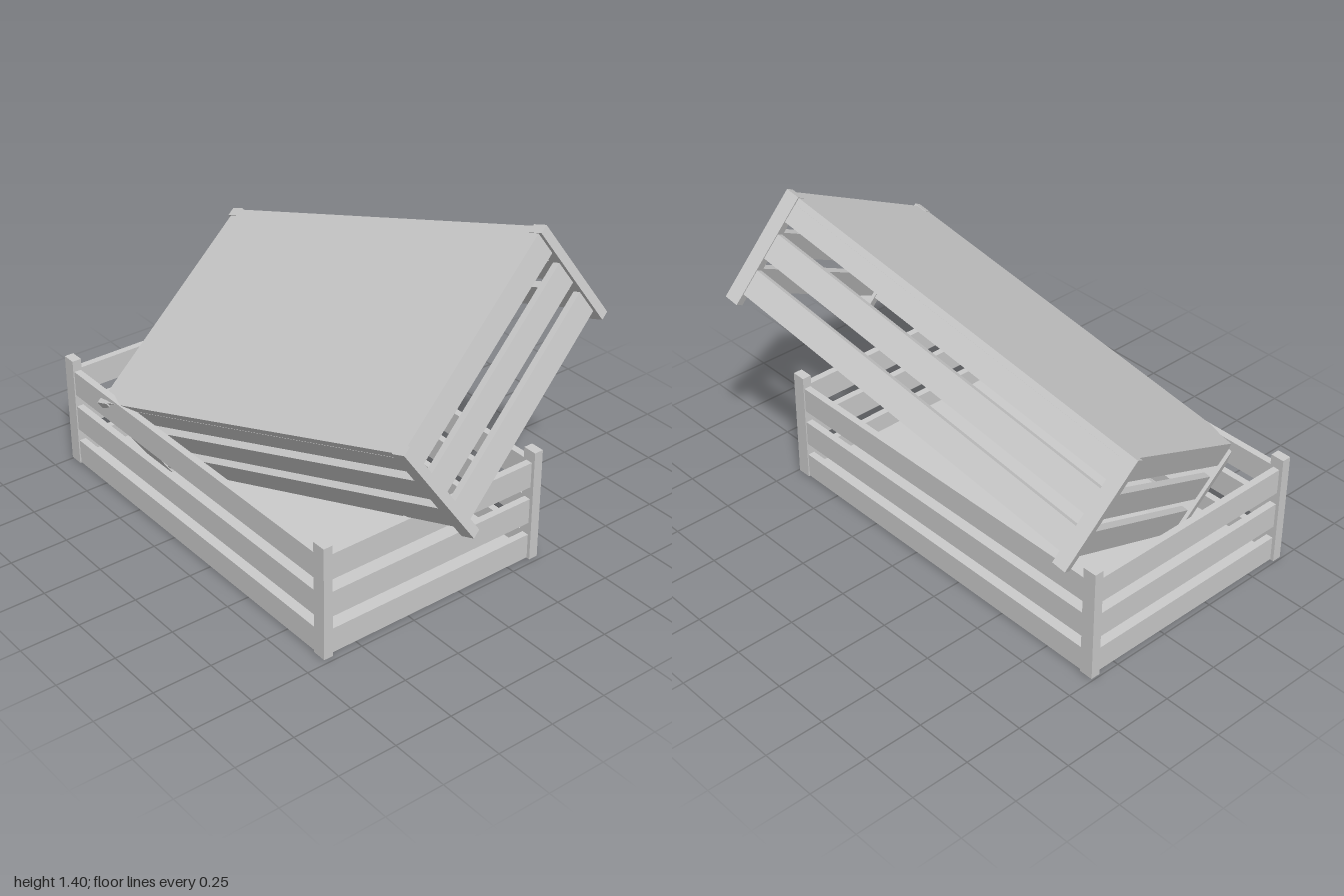
import * as THREE from 'three';

const material = new THREE.MeshStandardMaterial({ color: 0xcccccc });

// Crate dimensions
const LENGTH = 1.735, DEPTH = 1.05, HEIGHT = 0.49;
const POST_X = 0.06, POST_Z = 0.04, SLAT = 0.03, FLOOR = 0.03;

function addBox(parent, name, size, position) {
  const mesh = new THREE.Mesh(new THREE.BoxGeometry(...size), material);
  mesh.name = name;
  mesh.position.set(...position);
  parent.add(mesh);
}

// Open slatted crate standing on y = 0, centred on x and z
function createCrate(name) {
  const crate = new THREE.Group();
  crate.name = name;
  const px = (LENGTH - POST_X) / 2, pz = (DEPTH - POST_Z) / 2;

  // Floor panel, reaching under the slats
  addBox(crate, 'floor', [px * 2 + SLAT, FLOOR, pz * 2 + SLAT - 0.002], [0, FLOOR / 2 + 0.002, 0]);

  // Corner posts
  for (const sx of [-1, 1]) {
    for (const sz of [-1, 1]) {
      addBox(crate, 'cornerPost', [POST_X, HEIGHT, POST_Z], [sx * px, HEIGHT / 2, sz * pz]);
    }
  }

  // Three rows of slats on all four sides; the lowest row rests on the floor
  for (const [bottom, top] of [[FLOOR, 0.11], [0.165, 0.275], [0.33, 0.44]]) {
    const h = top - bottom, y = (top + bottom) / 2;
    for (const s of [-1, 1]) {
      addBox(crate, 'longSlat', [LENGTH - POST_X * 2, h, SLAT], [0, y, s * pz]);
      addBox(crate, 'endSlat', [SLAT, h, DEPTH - POST_Z * 2], [s * px, y, 0]);
    }
  }
  return crate;
}

export function createModel() {
  const model = new THREE.Group();
  model.name = 'stackedCrates';

  // Upright crate on the ground
  const lower = createCrate('uprightCrate');
  lower.position.set(-0.13, 0, 0.14);
  model.add(lower);

  // Overturned crate leaning in the first one
  const upper = createCrate('overturnedCrate');
  const along = new THREE.Vector3(0.95, 0.28, -0.13).normalize();
  const down = new THREE.Vector3(0.173, -0.832, -0.53);
  down.addScaledVector(along, -down.dot(along)).normalize();
  const across = new THREE.Vector3().crossVectors(along, down);
  upper.quaternion.setFromRotationMatrix(new THREE.Matrix4().makeBasis(along, down, across));
  upper.position.set(-0.043, 0.895, 0.127);
  model.add(upper);

  return model;
}
